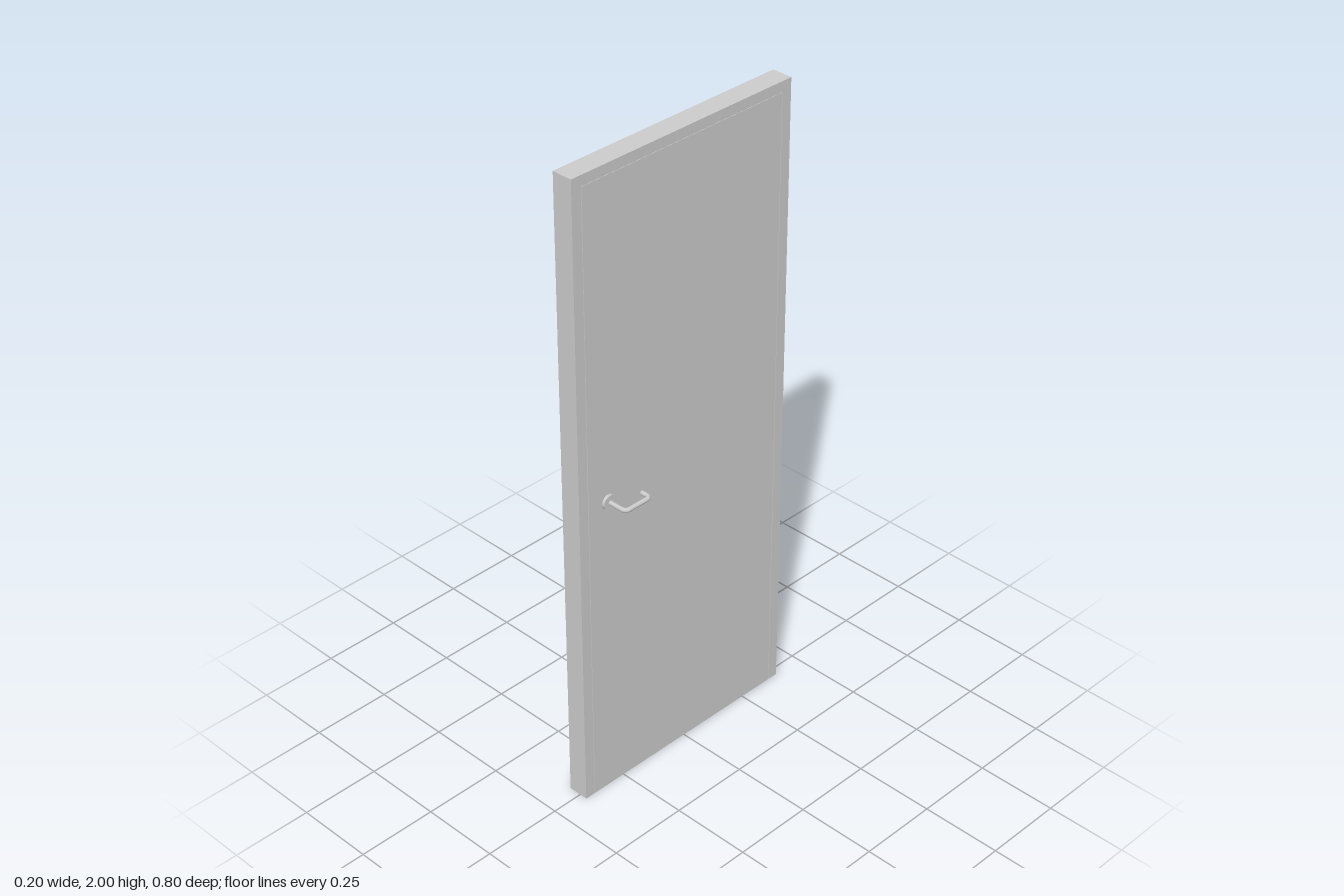
import * as THREE from 'three';

const material = new THREE.MeshStandardMaterial({ color: 0xcccccc });

function addMesh(parent, name, geometry, x = 0, y = 0, z = 0) {
  const mesh = new THREE.Mesh(geometry, material);
  mesh.name = name;
  mesh.position.set(x, y, z);
  parent.add(mesh);
  return mesh;
}

// Rounded path through points, each inner corner softened by radius r
function roundedPath(points, r) {
  const path = new THREE.CurvePath();
  let from = points[0];
  for (let i = 1; i < points.length - 1; i++) {
    const corner = points[i];
    const toward = (p) => corner.clone().add(p.clone().sub(corner).setLength(r));
    const a = toward(points[i - 1]);
    const b = toward(points[i + 1]);
    path.add(new THREE.LineCurve3(from, a));
    path.add(new THREE.QuadraticBezierCurve3(a, corner, b));
    from = b;
  }
  path.add(new THREE.LineCurve3(from, points[points.length - 1]));
  return path;
}

// Lever handle with round rosette; side is +1 or -1 along x
function createHandle(side) {
  const handle = new THREE.Group();
  handle.name = side > 0 ? 'outerHandle' : 'innerHandle';
  const tubeRadius = 0.007;

  const rosette = new THREE.CylinderGeometry(0.023, 0.023, 0.009, 32).rotateZ(Math.PI / 2);
  addMesh(handle, 'rosette', rosette, side * 0.0295);

  const points = [[0.02, 0], [0.092, 0], [0.092, -0.093], [0.06, -0.093]]
    .map(([x, z]) => new THREE.Vector3(side * x, 0, z));
  addMesh(handle, 'lever', new THREE.TubeGeometry(roundedPath(points, 0.015), 80, tubeRadius, 16));

  const cap = new THREE.CircleGeometry(tubeRadius, 16).rotateY(-side * Math.PI / 2);
  addMesh(handle, 'leverEnd', cap, side * 0.06, 0, -0.093);

  handle.position.set(0, 0.985, 0.293);
  return handle;
}

export function createModel() {
  const door = new THREE.Group();
  door.name = 'door';

  // Frame: two jambs and a header in one piece, open at the floor
  const outline = new THREE.Shape([
    [-0.4, 0], [-0.367, 0], [-0.367, 1.968], [0.367, 1.968],
    [0.367, 0], [0.4, 0], [0.4, 2], [-0.4, 2],
  ].map(([x, y]) => new THREE.Vector2(x, y)));
  const frame = new THREE.ExtrudeGeometry(outline, { depth: 0.065, bevelEnabled: false });
  addMesh(door, 'frame', frame.rotateY(Math.PI / 2), -0.04);

  // Leaf: flush with the frame on +x, recessed on -x, narrow gap at the jambs
  addMesh(door, 'leaf', new THREE.BoxGeometry(0.05, 1.967, 0.73), 0, 0.9835, 0);

  // Levers on both faces
  for (const side of [1, -1]) door.add(createHandle(side));

  return door;
}
